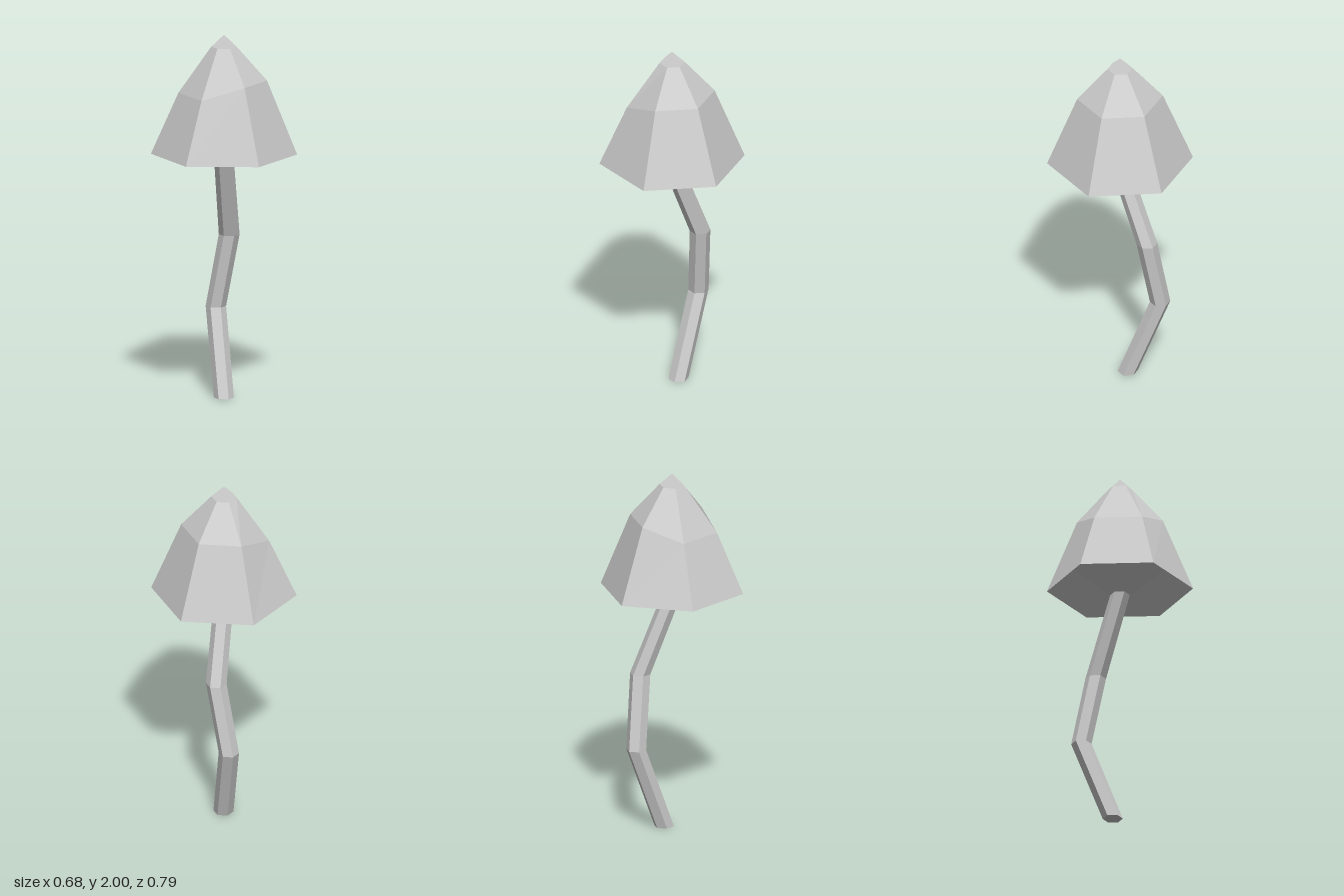
import * as THREE from 'three';

const SIDES = 6;

// Hexagonal ring with one corner towards +z
function ring(r, y, x = 0, z = 0) {
  return Array.from({ length: SIDES }, (_, i) => {
    const a = (i / SIDES) * Math.PI * 2;
    return [x + r * Math.sin(a), y, z + r * Math.cos(a)];
  });
}

// Faceted skin through a series of rings
function loft(name, rings, material) {
  const pos = [];
  for (let k = 0; k < rings.length - 1; k++) {
    for (let i = 0; i < SIDES; i++) {
      const j = (i + 1) % SIDES;
      const [a, b, c, d] = [rings[k][i], rings[k][j], rings[k + 1][j], rings[k + 1][i]];
      pos.push(...a, ...b, ...c, ...a, ...c, ...d);
    }
  }
  const geo = new THREE.BufferGeometry();
  geo.setAttribute('position', new THREE.Float32BufferAttribute(pos, 3));
  geo.computeVertexNormals();
  const mesh = new THREE.Mesh(geo, material);
  mesh.name = name;
  return mesh;
}

export function createModel() {
  const group = new THREE.Group();
  group.name = 'mushroom';
  const flat = new THREE.MeshStandardMaterial({ color: 0xcccccc, flatShading: true });
  const smooth = new THREE.MeshStandardMaterial({ color: 0xcccccc });

  // Crooked stem
  const neck = ring(0.053, 1.315);
  group.add(loft('stem', [
    ring(0.054, 0, -0.024, -0.038),
    ring(0.055, 0.467, -0.15, -0.162),
    ring(0.056, 0.87, -0.065, -0.16),
    neck,
  ], flat));

  // Flat foot closing the stem
  const foot = new THREE.Mesh(new THREE.CircleGeometry(0.054, SIDES, Math.PI / 2), flat);
  foot.name = 'stemFoot';
  foot.rotation.x = Math.PI / 2;
  foot.position.set(-0.024, 0, -0.038);
  group.add(foot);

  // Hollow underside: flares out from the neck, then down to the rim
  const rim = ring(0.393, 1.345);
  group.add(loft('gills', [neck, ring(0.26, 1.48), rim], flat));

  // Cap, with two shoulder corners sagging a little
  const shoulder = ring(0.231, 1.75);
  shoulder[0] = [0.008, 1.68, 0.246];
  shoulder[5] = [-0.215, 1.68, 0.117];
  group.add(loft('cap', [rim, shoulder, ring(0.068, 1.935)], flat));

  // Pointed tip, shaded as one surface
  const tipGeo = new THREE.ConeGeometry(0.068, 0.065, SIDES, 1, true);
  const n = tipGeo.attributes.normal;
  for (let i = 0; i < n.count; i++) n.setXYZ(i, 0, 1, 0);
  const tip = new THREE.Mesh(tipGeo, smooth);
  tip.name = 'capTip';
  tip.position.y = 1.9675;
  group.add(tip);

  return group;
}
